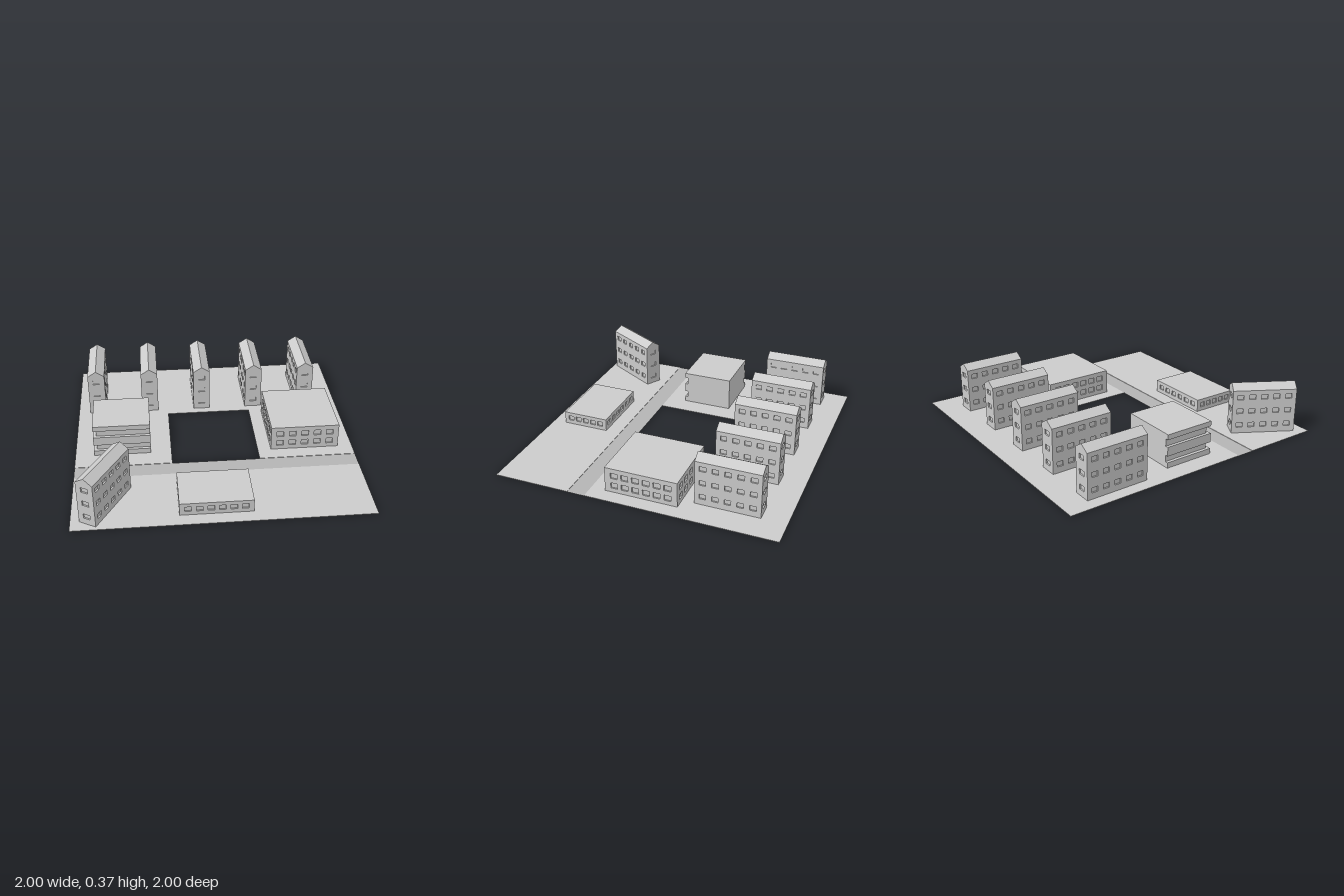
import * as THREE from 'three';

const grey = new THREE.MeshStandardMaterial({ color: 0xcccccc, flatShading: true });
const roadGrey = new THREE.MeshStandardMaterial({ color: 0xb4b4b4 });
const BASE = 0.002; // buildings start just above the underside of the ground
const REVEAL = 0.01; // depth of the window recesses

function mesh(name, geometry, material = grey) {
  const m = new THREE.Mesh(geometry, material);
  m.name = name;
  return m;
}

// Box given by its limits
function block(name, x0, x1, y0, y1, z0, z1, material) {
  const g = new THREE.BoxGeometry(x1 - x0, y1 - y0, z1 - z0);
  g.translate((x0 + x1) / 2, (y0 + y1) / 2, (z0 + z1) / 2);
  return mesh(name, g, material);
}

function polygon(points) {
  return new THREE.Shape(points.map(([x, y]) => new THREE.Vector2(x, y)));
}

// Wall panel with a grid of window openings, outer face at z = 0
function wall(name, width, height, { cols, rows, w, h, margin }) {
  const s = polygon([[-width / 2, BASE], [width / 2, BASE], [width / 2, height], [-width / 2, height]]);
  const span = width - 2 * margin;
  for (let c = 0; c < cols; c++) {
    const x = -span / 2 + (span * (c + 0.5)) / cols;
    for (const y of rows) {
      const hole = new THREE.Path();
      hole.moveTo(x - w / 2, y - h / 2);
      hole.lineTo(x - w / 2, y + h / 2);
      hole.lineTo(x + w / 2, y + h / 2);
      hole.lineTo(x + w / 2, y - h / 2);
      hole.closePath();
      s.holes.push(hole);
    }
  }
  const g = new THREE.ExtrudeGeometry(s, { depth: REVEAL, bevelEnabled: false });
  g.translate(0, 0, -REVEAL);
  return mesh(name, g);
}

// Rectangular building with recessed windows on all four sides
function building(name, width, height, length, endWindows, sideWindows) {
  const group = new THREE.Group();
  group.name = name;
  const a = width / 2, b = length / 2, d = REVEAL;
  group.add(block('core', -a + d, a - d, BASE, height, -b + d, b - d));
  for (const s of [1, -1]) {
    const end = wall('endWall', width, height, endWindows);
    end.position.z = s * b;
    end.rotation.y = s > 0 ? 0 : Math.PI;
    const side = wall('sideWall', length - 2 * d, height, sideWindows);
    side.position.x = s * a;
    side.rotation.y = (s * Math.PI) / 2;
    group.add(end, side);
  }
  return group;
}

// Narrow apartment block with a gabled roof
function apartmentBlock(x, z, turn = 0) {
  const W = 0.125, L = 0.45, EAVES = 0.325, RIDGE = 0.365;
  const rows = [0.065, 0.17, 0.275];
  const group = building('apartmentBlock', W, EAVES, L,
    { cols: 1, rows, w: 0.05, h: 0.035, margin: 0 },
    { cols: 5, rows, w: 0.045, h: 0.035, margin: 0.002 });
  const roof = new THREE.ExtrudeGeometry(
    polygon([[-W / 2, EAVES], [W / 2, EAVES], [0, RIDGE]]), { depth: L, bevelEnabled: false });
  roof.translate(0, 0, -L / 2);
  group.add(mesh('gableRoof', roof));
  group.position.set(x, 0, z);
  group.rotation.y = turn;
  return group;
}

// Block with deep horizontal grooves on its front and outer side
function bandedBuilding() {
  const group = new THREE.Group();
  group.name = 'bandedBuilding';
  const x0 = -0.865, x1 = -0.46, z0 = -0.175, z1 = 0.19, inset = 0.022;
  const levels = [BASE, 0.043, 0.09, 0.155, 0.208, 0.245];
  for (let i = 0; i < levels.length - 1; i++) {
    const d = i % 2 ? inset : 0;
    group.add(block(i % 2 ? 'recessedBand' : 'floorBand',
      x0 + d, x1, levels[i], levels[i + 1], z0, z1 - d));
  }
  return group;
}

export function createModel() {
  const model = new THREE.Group();
  model.name = 'cityBlock';

  // Ground around an open square, with a slightly sunken road
  const top = 0.004, roadBack = 0.328, roadFront = 0.455;
  const yard = polygon([[-1, -roadBack], [-0.313, -roadBack], [-0.313, 0.315], [0.31, 0.315],
    [0.31, -roadBack], [1, -roadBack], [1, 1], [-1, 1]]);
  const yardGeometry = new THREE.ExtrudeGeometry(yard, { depth: top, bevelEnabled: false });
  yardGeometry.rotateX(-Math.PI / 2);
  model.add(mesh('rearGround', yardGeometry));
  model.add(block('frontGround', -1, 1, 0, top, roadFront, 1));
  model.add(block('road', -1, 1, 0, 0.001, roadBack, roadFront, roadGrey));

  // Row of apartment blocks and one turned block at the front corner
  for (let i = 0; i < 5; i++) model.add(apartmentBlock(-0.85 + 0.4 * i, -0.6));
  model.add(apartmentBlock(-0.773, 0.747, -Math.PI / 6));

  model.add(bandedBuilding());

  // Wide two-storey building
  const rows = [0.055, 0.13];
  const hall = building('twoStoreyBuilding', 0.49, 0.185, 0.515,
    { cols: 5, rows, w: 0.05, h: 0.04, margin: 0.02 },
    { cols: 6, rows, w: 0.05, h: 0.04, margin: 0.02 });
  hall.position.set(0.65, 0, -0.033);
  model.add(hall);

  // Low single-storey building
  const low = building('lowBuilding', 0.49, 0.095, 0.34,
    { cols: 6, rows: [0.05], w: 0.045, h: 0.035, margin: 0.02 },
    { cols: 5, rows: [0.05], w: 0.04, h: 0.035, margin: 0.01 });
  low.position.set(-0.05, 0, 0.735);
  model.add(low);

  return model;
}
